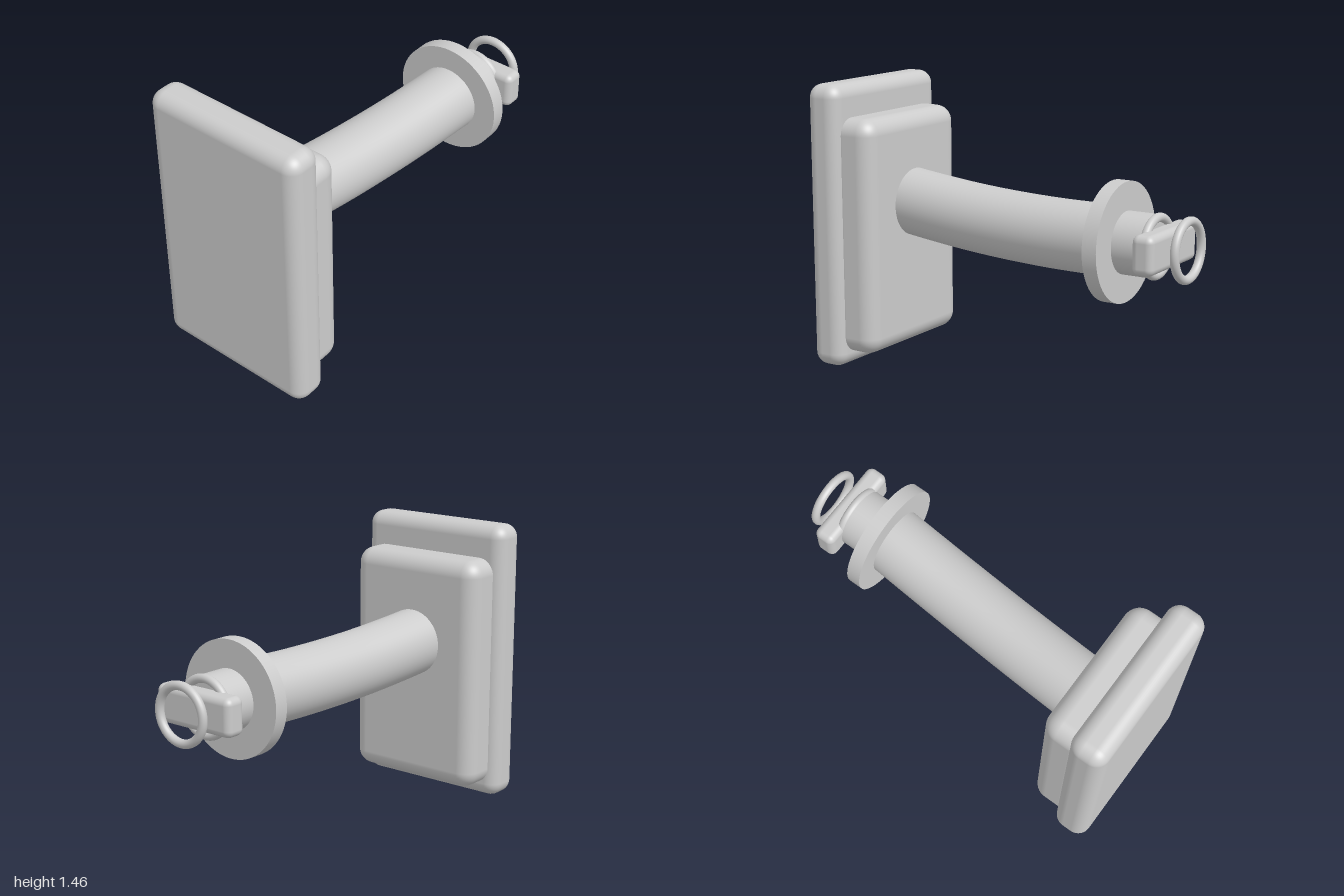
import * as THREE from 'three';
import { RoundedBoxGeometry } from 'three/addons/geometries/RoundedBoxGeometry.js';

const material = new THREE.MeshStandardMaterial({ color: 0xcccccc, roughness: 0.7 });

// Centre of everything fitted to the rear end of the arm
const END_X = 0.095;
const END_Y = 0.783;

export function createModel() {
  const model = new THREE.Group();
  model.name = 'wallMountedArm';

  const add = (name, geometry, x, y, z) => {
    const mesh = new THREE.Mesh(geometry, material);
    mesh.name = name;
    mesh.position.set(x, y, z);
    model.add(mesh);
    return mesh;
  };

  // Disc or peg lying along z, between two depths
  const addDisc = (name, radius, zFront, zBack) => {
    const geometry = new THREE.CylinderGeometry(radius, radius, zFront - zBack, 64);
    geometry.rotateX(Math.PI / 2);
    add(name, geometry, END_X, END_Y, (zFront + zBack) / 2);
  };

  // Stacked rounded plates
  add('frontPlate', new RoundedBoxGeometry(0.874, 1.46, 0.19, 6, 0.07), 0, 0.73, 0.905);
  add('backPlate', new RoundedBoxGeometry(0.776, 1.215, 0.25, 6, 0.085), 0, 0.6825, 0.765);

  // Gently sagging arm
  const armPath = new THREE.CatmullRomCurve3([
    new THREE.Vector3(-0.01, 0.846, 0.78),
    new THREE.Vector3(0.0, 0.828, 0.64),
    new THREE.Vector3(0.033, 0.791, 0.22),
    new THREE.Vector3(0.066, 0.777, -0.2),
    new THREE.Vector3(0.097, 0.783, -0.62),
  ]);
  add('arm', new THREE.TubeGeometry(armPath, 40, 0.173, 48), 0, 0, 0);

  // Flange and peg at the end of the arm
  addDisc('flange', 0.293, -0.58, -0.655);
  addDisc('peg', 0.152, -0.64, -0.818);

  // Crossbar between two rings
  add('crossbar', new RoundedBoxGeometry(0.466, 0.19, 0.112, 5, 0.035), END_X, END_Y, -0.855);
  const ring = new THREE.TorusGeometry(0.138, 0.022, 20, 64);
  add('innerRing', ring, END_X, END_Y, -0.818);
  add('outerRing', ring, END_X, END_Y, -0.978);

  return model;
}
